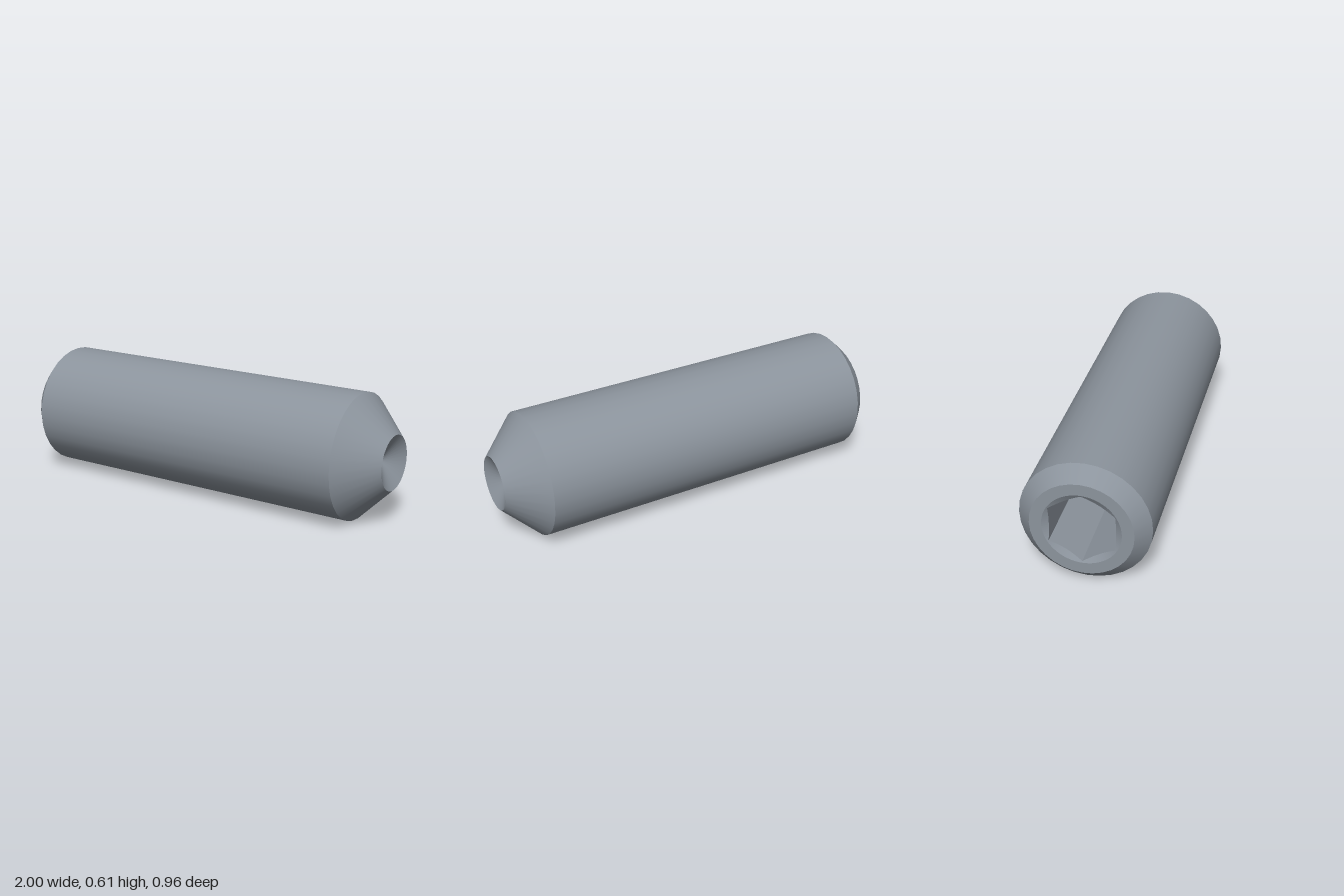
import * as THREE from 'three';

const SIDES = 32;          // sides of the turned body
const STEPS = 96;          // divides evenly into both 32 sides and 6 sides
const BACK = -0.97;        // socket end, measured along the axis
const RIM = 0.24, HOLE = 0.183, APOTHEM = 0.153, DEPTH = 0.4;

// Radius at angle t of a regular polygon with a flat centred on angle 0
function flatRadius(n, apothem, t) {
  const step = (Math.PI * 2) / n;
  return apothem / Math.cos(t - Math.round(t / step) * step);
}

// Flat-shaded band between two rings, each ring given as angle -> [radius, y]
function band(ringA, ringB) {
  const pos = [];
  const point = (ring, t) => {
    const [r, y] = ring(t);
    return [r * Math.sin(t), y, r * Math.cos(t)];
  };
  for (let i = 0; i < STEPS; i++) {
    const t0 = (i / STEPS) * Math.PI * 2, t1 = ((i + 1) / STEPS) * Math.PI * 2;
    const a = point(ringA, t0), b = point(ringA, t1);
    const c = point(ringB, t1), d = point(ringB, t0);
    if (ringA(t0)[0] > 0) pos.push(...a, ...b, ...d);
    pos.push(...c, ...d, ...b);
  }
  const geo = new THREE.BufferGeometry();
  geo.setAttribute('position', new THREE.Float32BufferAttribute(pos, 3));
  geo.computeVertexNormals();
  return geo;
}

export function createModel() {
  const steel = new THREE.MeshStandardMaterial({ color: 0x8c949d });
  steel.name = 'steel';

  const screw = new THREE.Group();
  screw.name = 'setScrew';
  const add = (name, geo) => {
    const mesh = new THREE.Mesh(geo, steel);
    mesh.name = name;
    screw.add(mesh);
  };

  // Turned surfaces: separate lathes keep the edges between them sharp
  const turned = [
    ['backChamfer', [RIM, BACK], [0.307, -0.903]],
    ['shank', [0.307, -0.903], [0.307, 0.819]],
    ['taperedPoint', [0.307, 0.819], [0.133, 0.993]],
    ['cupHollow', [0.133, 0.993], [0, 0.918]],
  ];
  for (const [name, from, to] of turned) {
    const profile = [new THREE.Vector2(...from), new THREE.Vector2(...to)];
    add(name, new THREE.LatheGeometry(profile, SIDES));
  }

  // Hex socket: floor, walls, conical lead-in and flat rim
  const hex = (t) => flatRadius(6, APOTHEM, t);
  const centre = () => [0, BACK + DEPTH];
  const floorEdge = (t) => [hex(t), BACK + DEPTH];
  const scallop = (t) => [hex(t), BACK + (HOLE - hex(t)) * 0.58];
  const mouth = () => [HOLE, BACK];
  // The outer rim follows the body's polygon, which has a corner at angle 0
  const half = Math.PI / SIDES;
  const outer = (t) => [flatRadius(SIDES, RIM * Math.cos(half), t - half), BACK];
  add('socketFloor', band(centre, floorEdge));
  add('socketWalls', band(floorEdge, scallop));
  add('socketLeadIn', band(scallop, mouth));
  add('socketRim', band(mouth, outer));

  // Lay the screw down along x and swing it toward the front
  screw.rotation.set(0, THREE.MathUtils.degToRad(-12), -Math.PI / 2, 'YXZ');
  screw.position.set(0, 0.307, 0.009);

  const model = new THREE.Group();
  model.name = 'model';
  model.add(screw);
  return model;
}
